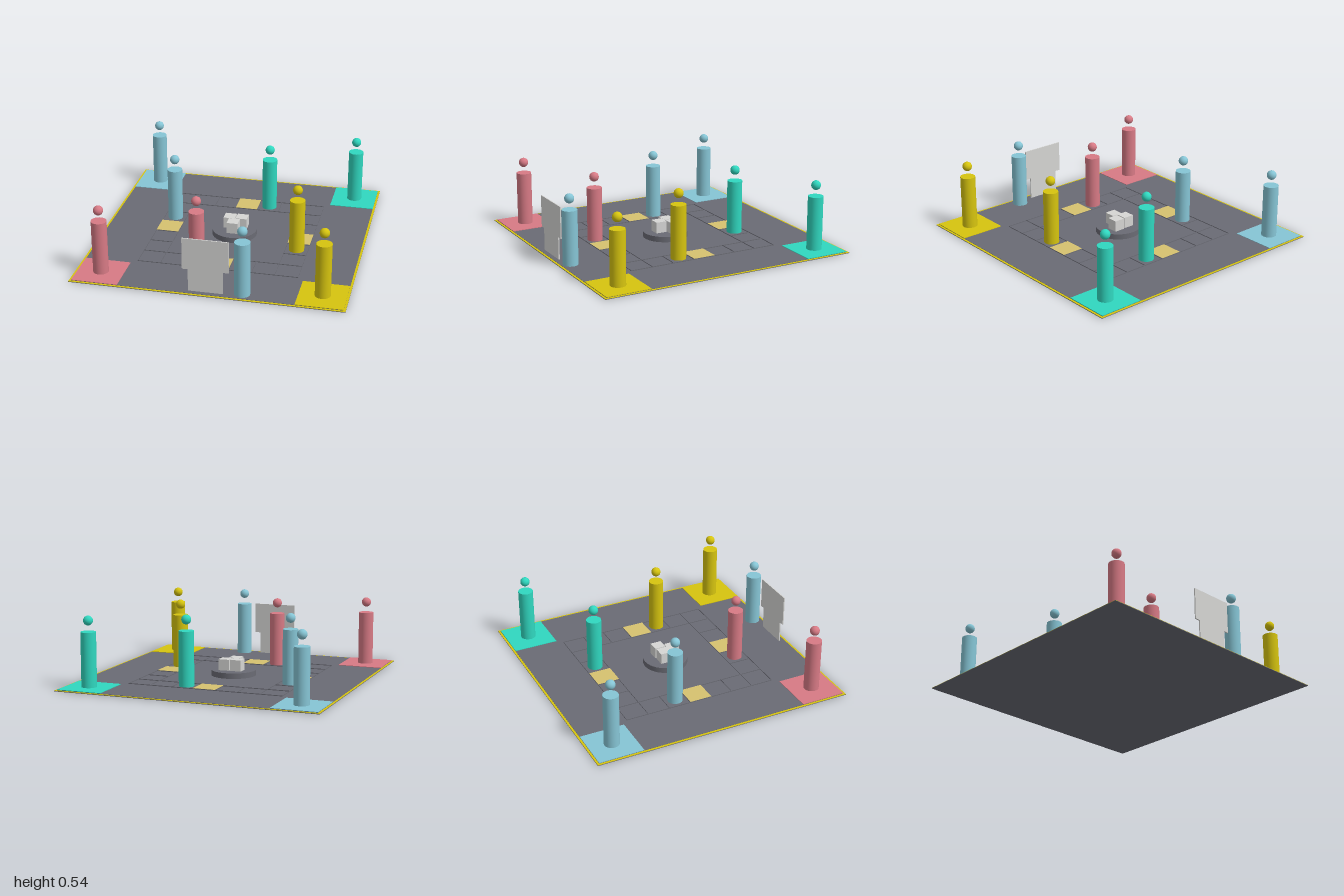
import * as THREE from 'three';

export function createModel() {
  const root = new THREE.Group();
  const mat = (name, color) => {
    const m = new THREE.MeshStandardMaterial({ color });
    m.name = name;
    return m;
  };
  const grey = mat('slate grey', 0x6a6b74);
  const yellow = mat('yellow', 0xd6c40f);
  const teal = mat('teal', 0x30d7bf);
  const blue = mat('light blue', 0x86c5d5);
  const red = mat('rose red', 0xd77a85);
  const tan = mat('tan', 0xd6c26f);
  const pale = mat('pale grey', 0xd6d6d4);

  const add = (name, geometry, material, x, y, z, parent = root) => {
    const mesh = new THREE.Mesh(geometry, material);
    mesh.name = name;
    mesh.position.set(x, y, z);
    parent.add(mesh);
    return mesh;
  };
  // Box standing on height y0 and reaching y1
  const slab = (name, material, w, d, x, z, y0, y1) =>
    add(name, new THREE.BoxGeometry(w, y1 - y0, d), material, x, (y0 + y1) / 2, z);

  const S = 0.171; // tile size
  const TOP = 0.008; // playing surface

  // Board: base, yellow rim and playing field
  slab('boardBase', grey, 2, 2, 0, 0, 0, 0.004);
  slab('boardRim', yellow, 2, 2, 0, 0, 0.004, 0.006);
  slab('boardField', grey, 1.968, 1.968, 0, 0, 0.006, TOP);

  // Tile track: low ridges round a ring seven tiles wide, with a tan tile per side
  for (let side = 0; side < 4; side++) {
    const track = new THREE.Group();
    track.name = 'trackSide';
    track.rotation.y = side * Math.PI / 2;
    root.add(track);
    const ridge = (w, d, x, z) =>
      add('trackRidge', new THREE.BoxGeometry(w, 0.01, d), grey, x, TOP + 0.001, z, track);
    ridge(7 * S, 0.003, 0, 3.5 * S);
    ridge(5 * S, 0.003, 0, 2.5 * S);
    for (let i = -2.5; i <= 2.5; i++) ridge(0.003, S, i * S, 3 * S);
    add('tanTile', new THREE.BoxGeometry(S, 0.007, S), tan, 0, TOP + 0.0035, 3 * S, track);
  }

  // Playing pieces: a column with a ball floating over it
  const columnGeo = new THREE.CylinderGeometry(0.057, 0.057, 0.412, 32);
  const ballGeo = new THREE.SphereGeometry(0.036, 24, 16);
  const piece = (material, x, z) => {
    const g = new THREE.Group();
    g.name = 'playingPiece';
    g.position.set(x, 0, z);
    root.add(g);
    add('pieceColumn', columnGeo, material, 0, 0.212, 0, g);
    add('pieceBall', ballGeo, material, 0, 0.5, 0, g);
  };

  // Corner bases, each with its own piece
  const C = 0.813;
  for (const [m, x, z] of [[blue, -C, -C], [teal, C, -C], [red, -C, C], [yellow, C, C]]) {
    slab('cornerBase', m, 2 * S, 2 * S, x, z, TOP, TOP + 0.004);
    piece(m, x, z);
  }

  // Pieces on the track, and one at the front edge
  piece(teal, S, -3 * S);
  piece(blue, -3 * S, -S);
  piece(yellow, 3 * S, S);
  piece(red, -S, 3 * S);
  piece(blue, 1.5 * S, 0.913);

  // Central platform with three cubes
  add('platform', new THREE.CylinderGeometry(S, S, 0.042, 48), grey, 0, 0.029, 0);
  for (const [x, z] of [[-0.043, -0.032], [0.051, -0.037], [0, 0.054]]) {
    slab('cube', pale, 0.085, 0.085, x, z, 0.05, 0.135);
  }

  // Upright panel, narrower in its lower part
  const outline = [[-0.128, 0.008], [0.125, 0.008], [0.125, 0.178], [0.168, 0.178],
    [0.168, 0.418], [-0.17, 0.418], [-0.17, 0.178], [-0.128, 0.178]];
  const shape = new THREE.Shape(outline.map(([x, y]) => new THREE.Vector2(x, y)));
  add('uprightPanel', new THREE.ExtrudeGeometry(shape, { depth: 0.009, bevelEnabled: false }),
    pale, 0, 0, 0.938);

  return root;
}
